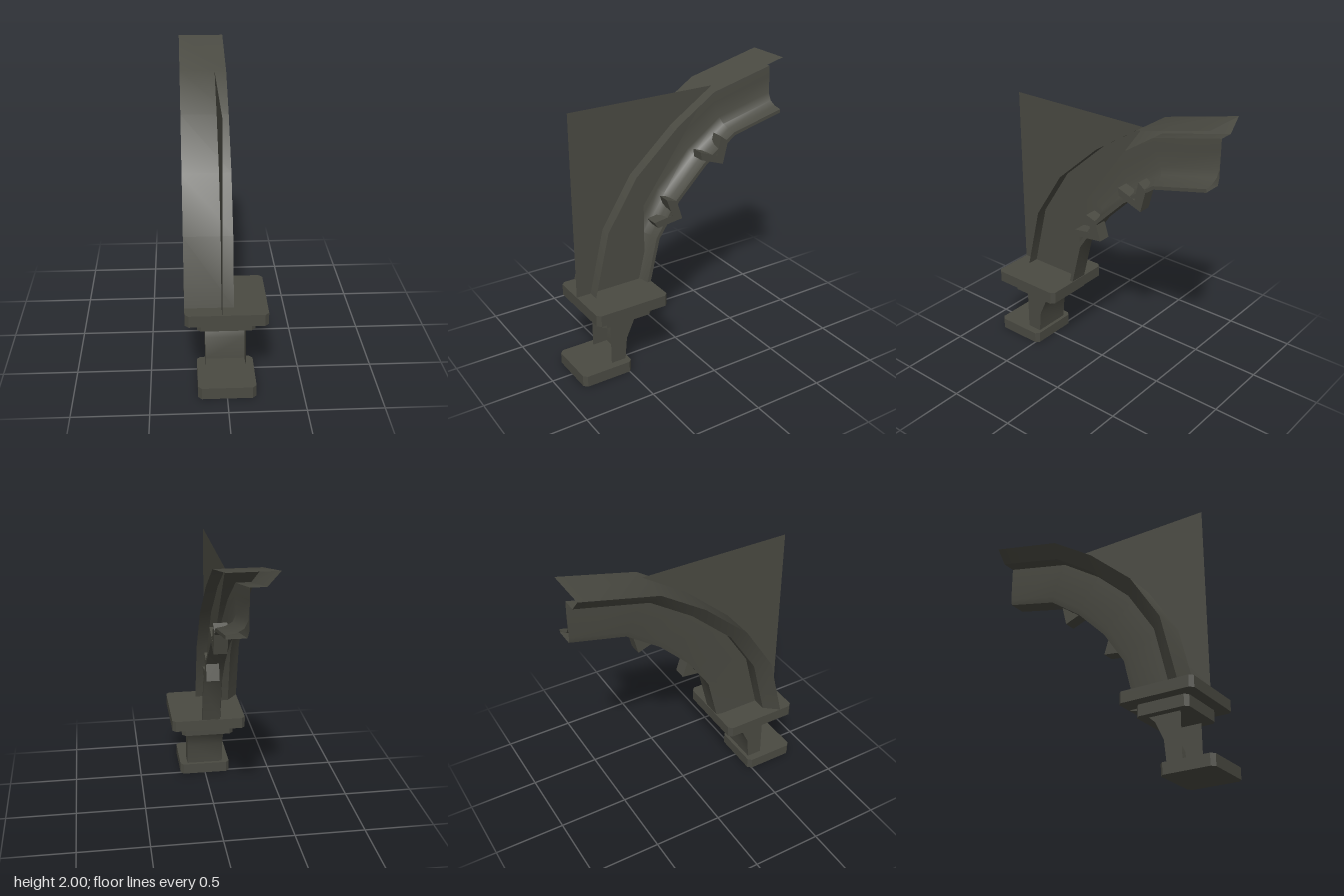
import * as THREE from 'three';
import { toCreasedNormals } from 'three/addons/utils/BufferGeometryUtils.js';

const stone = new THREE.MeshStandardMaterial({ color: 0x4a4a42 });
stone.name = 'dark stone';
const thinStone = new THREE.MeshStandardMaterial({ color: 0x4a4a42, side: THREE.DoubleSide });
thinStone.name = 'dark stone sheet';

// Arch stations as [z, y]: outer curve and matching inner curve
const OUTER = [[0.665, 0.57], [0.555, 1.025], [0.335, 1.37], [0.01, 1.66], [-0.31, 1.87], [-0.85, 2]];
const INNER = [[0.235, 0.57], [0.16, 0.88], [0, 1.12], [-0.22, 1.34], [-0.46, 1.51], [-0.85, 1.603]];

// Column back curve as [z, y], flaring under the capital
const FLARE = [[0.5, 0.08], [0.485, 0.24], [0.425, 0.37], [0.32, 0.465], [0.23, 0.49]];

// Sweep a profile of [x, depth] along two curves; depth 0 is outer, 1 is inner
function sweep(profile, crease, outer = OUTER, inner = INNER) {
  const pos = [];
  const point = (i, j) => {
    const [x, d] = profile[j];
    const o = outer[i], n = inner[i];
    return [x, o[1] + (n[1] - o[1]) * d, o[0] + (n[0] - o[0]) * d];
  };
  for (let i = 0; i < outer.length - 1; i++) {
    for (let j = 0; j < profile.length - 1; j++) {
      const a = point(i, j), b = point(i, j + 1), c = point(i + 1, j), d = point(i + 1, j + 1);
      pos.push(...a, ...b, ...c, ...b, ...d, ...c);
    }
  }
  const g = new THREE.BufferGeometry();
  g.setAttribute('position', new THREE.Float32BufferAttribute(pos, 3));
  return toCreasedNormals(g, crease);
}

// Shape in the side plane from [z, y] points
const sideShape = (pts) => new THREE.Shape(pts.map(([z, y]) => new THREE.Vector2(-z, y)));

// Flat side sheet at one x
const sideSheet = (pts, x) =>
  new THREE.ShapeGeometry(sideShape(pts)).rotateY(Math.PI / 2).translate(x, 0, 0);

// Plate with chamfered corners
function plate(halfX, z0, z1, y0, y1) {
  const c = 0.025, h = halfX;
  const pts = [[-h + c, z0], [h - c, z0], [h, z0 + c], [h, z1 - c],
    [h - c, z1], [-h + c, z1], [-h, z1 - c], [-h, z0 + c]];
  const shape = new THREE.Shape(pts.map(([x, z]) => new THREE.Vector2(x, -z)));
  const g = new THREE.ExtrudeGeometry(shape, { depth: y1 - y0, bevelEnabled: false });
  return g.rotateX(-Math.PI / 2).translate(0, y0, 0);
}

// Hooked cusp standing on the lip of the arch
function cusp(pts) {
  const g = new THREE.ExtrudeGeometry(sideShape(pts), { depth: 0.091, bevelEnabled: false });
  return g.rotateY(Math.PI / 2).translate(-0.04, 0, 0);
}

export function createModel() {
  const model = new THREE.Group();
  const add = (name, geometry, material = stone) => {
    const mesh = new THREE.Mesh(geometry, material);
    mesh.name = name;
    model.add(mesh);
  };

  // Pedestal plates
  add('footPlate', plate(0.19, 0.475, 0.85, 0, 0.08));
  add('capitalLowerPlate', plate(0.19, 0.31, 0.69, 0.41, 0.49));
  add('capitalUpperPlate', plate(0.27, 0.23, 0.77, 0.49, 0.57));

  // Short column: two side walls and a flared back, open at the front
  for (const [name, x] of [['columnLeftWall', 0.135], ['columnRightWall', -0.135]]) {
    add(name, sideSheet([[0.61, 0.08], ...FLARE, [0.61, 0.49]], x), thinStone);
  }
  add('columnBack', sweep([[0.135, 0], [-0.135, 0]], 1, FLARE, FLARE), thinStone);

  // Arch: thin outer sheet, sloped flange with a shelf, and a hollow moulding with a lip
  add('archOuterSheet', sweep([[-0.27, 0], [0.05, 0]], 1), thinStone);
  add('archFlange', sweep([[-0.27, 0], [-0.19, 0.23], [-0.09, 0.23]], 0.4), thinStone);
  add('archMoulding', sweep([
    [-0.09, 0.23], [-0.085, 0.42], [-0.085, 0.72], [-0.06, 0.85],
    [-0.01, 0.915], [0.05, 0.94], [0.05, 1], [-0.08, 1], [-0.09, 0.9], [-0.09, 0.23],
  ], 0.65), thinStone);

  // Spandrel wall filling the outside of the arch
  add('spandrelWall', sideSheet([
    [0.77, 0.57], [0.235, 0.57], [0.235, 1.12], [-0.31, 1.87], [0.77, 1.87],
  ], -0.03), thinStone);

  // Cusps under the arch
  add('lowerCusp', cusp([[0.2, 1.01], [0.17, 0.965], [-0.025, 0.99], [0.02, 1.13], [0.1, 1.155], [0.055, 1.03]]));
  add('upperCusp', cusp([[-0.175, 1.44], [-0.18, 1.385], [-0.36, 1.32], [-0.4, 1.48], [-0.34, 1.525], [-0.31, 1.39]]));

  return model;
}
